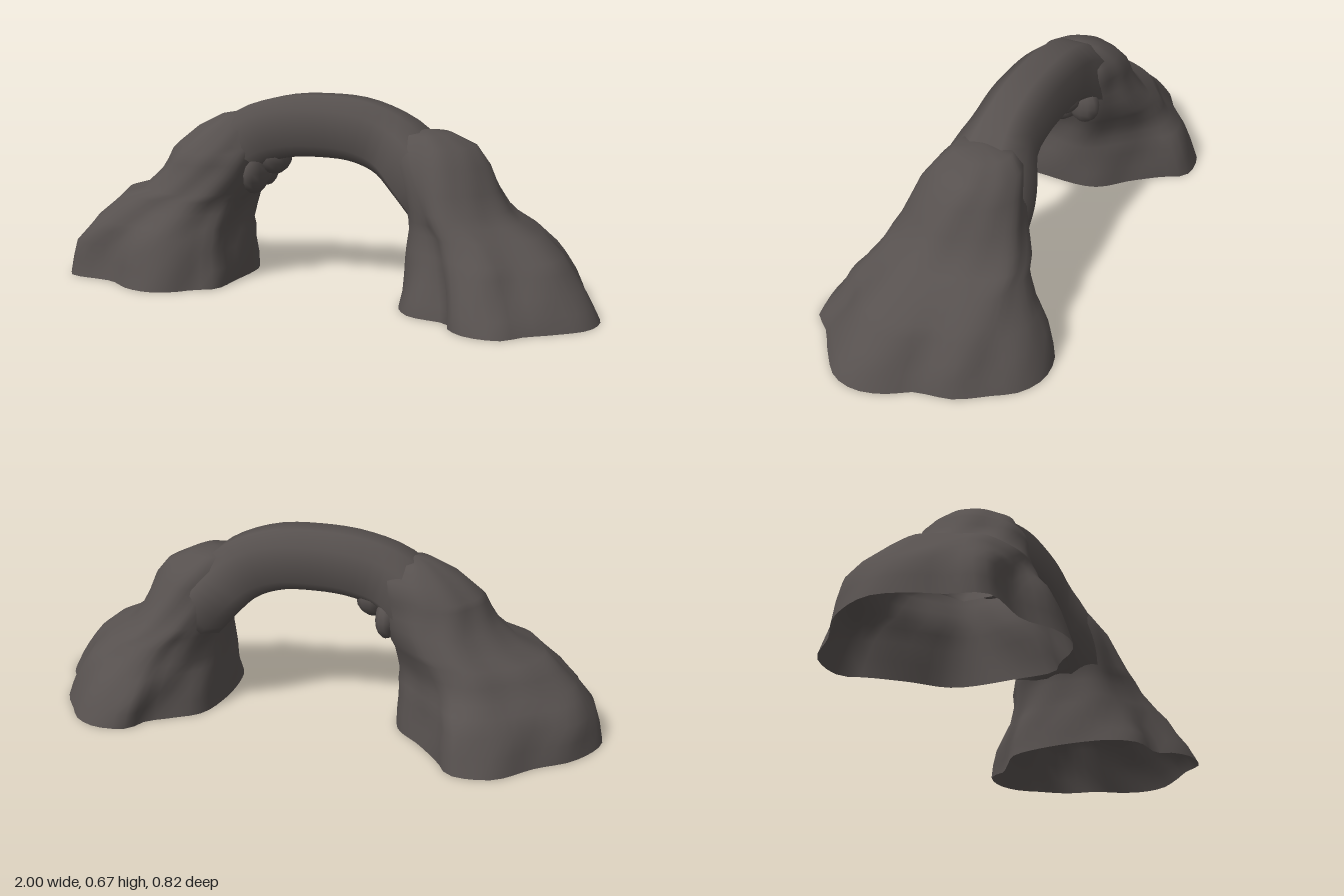
import * as THREE from 'three';

// Skin a stack of closed rings (each an array of Vector3, same length) with smooth normals.
function loft(rings, capped) {
  const n = rings[0].length, pos = [], idx = [];
  rings.forEach(r => r.forEach(p => pos.push(p.x, p.y, p.z)));
  for (let j = 0; j < rings.length - 1; j++) {
    for (let i = 0; i < n; i++) {
      const a = j * n + i, b = j * n + (i + 1) % n;
      idx.push(a, b, b + n, a, b + n, a + n);
    }
  }
  if (capped) {
    const last = rings[rings.length - 1], base = (rings.length - 1) * n;
    const c = last.reduce((s, p) => s.add(p), new THREE.Vector3()).divideScalar(n);
    pos.push(c.x, c.y + 0.012, c.z);
    for (let i = 0; i < n; i++) idx.push(base + i, base + (i + 1) % n, rings.length * n);
  }
  const g = new THREE.BufferGeometry();
  g.setAttribute('position', new THREE.Float32BufferAttribute(pos, 3));
  g.setIndex(idx);
  g.computeVertexNormals();
  return g;
}

// Craggy footing: a footprint outline squeezed into each slice [y, x0, x1, z0, z1],
// growing rounder with height.
function footing(outline, slices, seed) {
  const curve = new THREE.CatmullRomCurve3(
    outline.map(([x, z]) => new THREE.Vector3(x, 0, z)), true, 'centripetal');
  const pts = curve.getSpacedPoints(56).slice(0, 56);
  const [, x0, x1, z0, z1] = slices[0];
  const unit = pts.map(p => [(2 * p.x - x0 - x1) / (x1 - x0), (2 * p.z - z0 - z1) / (z1 - z0)]);
  const rings = slices.map(([y, ax, bx, az, bz], j) => {
    const t = THREE.MathUtils.smoothstep(y, 0.02, 0.42);
    return unit.map(([u, v]) => {
      const a = Math.atan2(v, u);
      // lumps fade out at the ground
      const lump = 1 + 0.02 * Math.min(1, j / 2) *
        (Math.sin(5 * a + seed + y * 9) + 0.6 * Math.sin(9 * a - seed * 2 + y * 23) - 0.3);
      const px = THREE.MathUtils.lerp(u, Math.cos(a), t) * lump;
      const pz = THREE.MathUtils.lerp(v, Math.sin(a), t) * lump;
      return new THREE.Vector3((ax + bx + px * (bx - ax)) / 2, y, (az + bz + pz * (bz - az)) / 2);
    });
  });
  return loft(rings, true);
}

// Eight-sided span swept along the arch line, flaring sideways into the footings.
function span() {
  const path = new THREE.CatmullRomCurve3([
    [-0.41, 0.36], [-0.36, 0.425], [-0.27, 0.51], [-0.14, 0.552], [0, 0.5625],
    [0.14, 0.552], [0.27, 0.5], [0.365, 0.41], [0.425, 0.34],
  ].map(([x, y]) => new THREE.Vector3(x, y, -0.025)));
  const section = [[0.107, 0.045], [0.062, 0.105], [-0.062, 0.105], [-0.107, 0.045],
    [-0.107, -0.045], [-0.062, -0.105], [0.062, -0.105], [0.107, -0.045]];
  const rings = [];
  for (let j = 0; j <= 28; j++) {
    const c = path.getPoint(j / 28), t = path.getTangent(j / 28);
    // the +x shoulder blends more softly than the -x one
    const flare = 1 + (c.x > 0 ? 0.55 : 0.25) * THREE.MathUtils.smoothstep(Math.abs(c.x), 0.2, 0.4);
    rings.push(section.map(([up, out]) =>
      new THREE.Vector3(c.x - t.y * up, c.y + t.x * up, c.z + out * flare)));
  }
  return loft(rings, false);
}

export function createModel() {
  const group = new THREE.Group();
  group.name = 'rockArch';
  const rock = new THREE.MeshStandardMaterial({ color: 0x57514f, side: THREE.DoubleSide });
  rock.name = 'darkRock';
  const add = (name, geometry) => {
    const m = new THREE.Mesh(geometry, rock);
    m.name = name;
    group.add(m);
    return m;
  };

  add('archSpan', span());

  // Footing on the -x side
  add('rightFooting', footing([
    [-0.97, 0.08], [-0.93, 0.15], [-0.89, 0.26], [-0.7, 0.285], [-0.6, 0.345], [-0.5, 0.36],
    [-0.43, 0.33], [-0.37, 0.27], [-0.31, 0.23], [-0.3, 0.1], [-0.31, -0.12], [-0.41, -0.23],
    [-0.49, -0.33], [-0.54, -0.405], [-0.68, -0.4], [-0.8, -0.29], [-0.92, -0.2], [-1, -0.05],
  ], [
    [0, -1, -0.3, -0.41, 0.36], [0.06, -0.99, -0.3, -0.39, 0.34], [0.12, -0.975, -0.305, -0.365, 0.325],
    [0.17, -0.93, -0.305, -0.335, 0.3], [0.2, -0.9, -0.305, -0.295, 0.285],
    [0.25, -0.84, -0.295, -0.275, 0.25], [0.295, -0.785, -0.28, -0.26, 0.235],
    [0.32, -0.7, -0.265, -0.245, 0.22], [0.38, -0.63, -0.245, -0.22, 0.19],
    [0.42, -0.6, -0.235, -0.2, 0.18], [0.46, -0.58, -0.23, -0.19, 0.165],
    [0.48, -0.565, -0.225, -0.185, 0.14], [0.54, -0.49, -0.22, -0.165, 0.11],
    [0.585, -0.4, -0.28, -0.1, 0.05],
  ], 1));

  // Footing on the +x side
  add('leftFooting', footing([
    [0.34, 0.12], [0.36, 0.2], [0.42, 0.27], [0.56, 0.3], [0.57, 0.34], [0.64, 0.4], [0.76, 0.4],
    [0.81, 0.34], [0.9, 0.27], [0.98, 0.19], [1, 0.1], [0.97, 0], [0.93, -0.06], [0.9, -0.19],
    [0.84, -0.28], [0.78, -0.36], [0.69, -0.4], [0.58, -0.38], [0.55, -0.32], [0.46, -0.26],
    [0.38, -0.2], [0.34, -0.05],
  ], [
    [0, 0.33, 1, -0.405, 0.41], [0.05, 0.335, 0.975, -0.39, 0.39], [0.1, 0.335, 0.94, -0.37, 0.35],
    [0.155, 0.34, 0.9, -0.335, 0.32], [0.19, 0.34, 0.87, -0.305, 0.29],
    [0.25, 0.34, 0.79, -0.27, 0.245], [0.285, 0.335, 0.715, -0.26, 0.23],
    [0.32, 0.325, 0.67, -0.24, 0.21], [0.38, 0.3, 0.63, -0.21, 0.185],
    [0.46, 0.265, 0.59, -0.185, 0.155], [0.52, 0.25, 0.54, -0.165, 0.115],
    [0.557, 0.29, 0.46, -0.12, 0.075],
  ], 4));

  // Knobs half sunk into the underside of the -x shoulder: [x, y, z, rx, ry, rz]
  [
    [-0.2, 0.445, -0.03, 0.062, 0.07, 0.07], [-0.26, 0.385, 0.01, 0.045, 0.08, 0.08],
    [-0.26, 0.39, -0.09, 0.04, 0.07, 0.06],
  ].forEach(([x, y, z, ...r], i) => {
    const knob = add('rockKnob' + (i + 1), new THREE.SphereGeometry(1, 12, 8));
    knob.position.set(x, y, z);
    knob.scale.set(...r);
  });
  return group;
}
